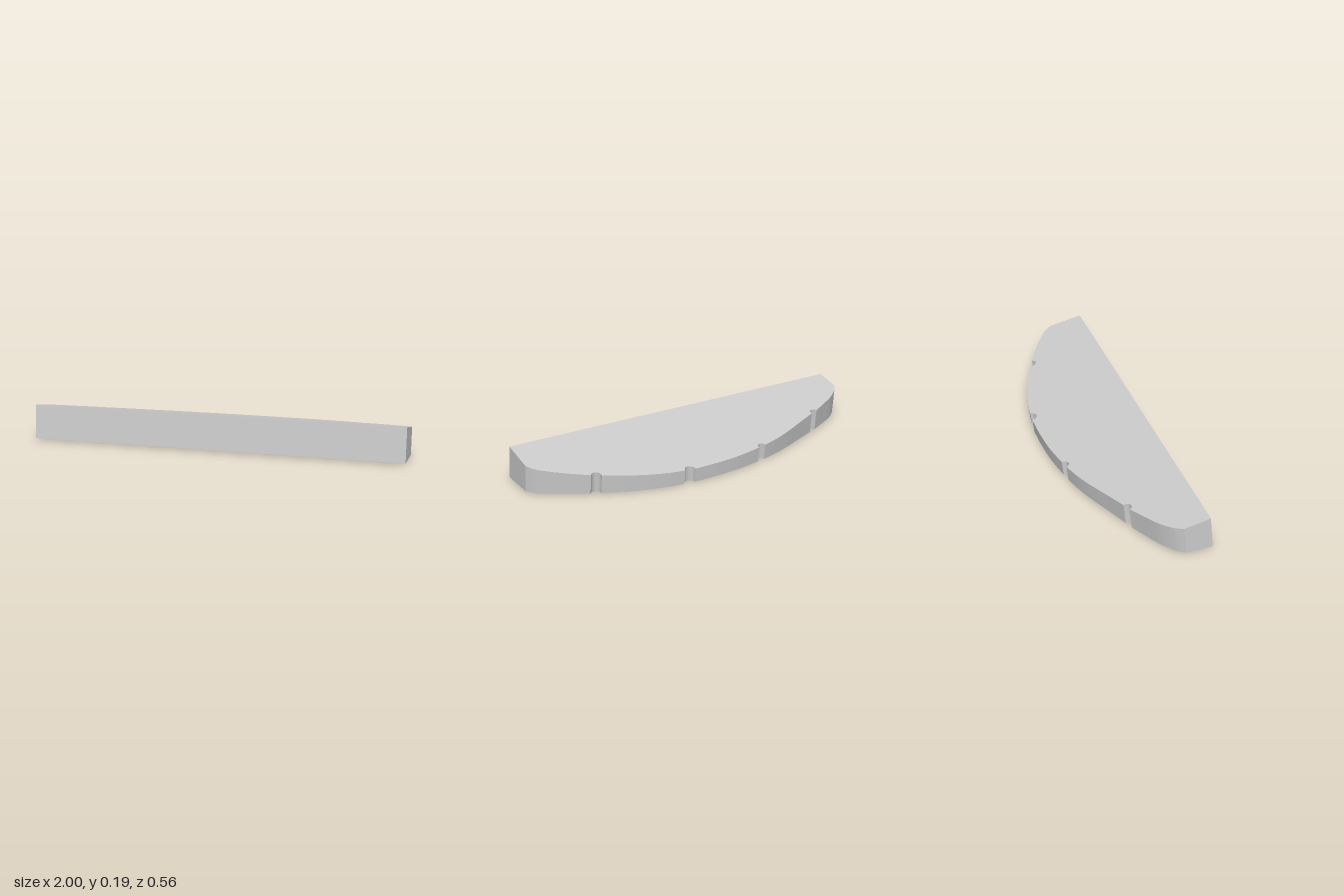
import * as THREE from 'three';
import { toCreasedNormals } from 'three/addons/utils/BufferGeometryUtils.js';

// Curved rear edge of the top face as (x, z) runs, left open between runs for the notches
const runs = [
  [[-1, 0.12], [-0.965, 0.077], [-0.9, 0.027], [-0.81, -0.021], [-0.735, -0.059]],
  [[-0.69, -0.076], [-0.6, -0.113], [-0.45, -0.176], [-0.35, -0.211], [-0.262, -0.235]],
  [[-0.214, -0.245], [-0.08, -0.267], [0.05, -0.277], [0.13, -0.279], [0.208, -0.279]],
  [[0.267, -0.273], [0.35, -0.26], [0.45, -0.236], [0.57, -0.196], [0.684, -0.148]],
  [[0.733, -0.125], [0.83, -0.07], [0.92, -0.012], [0.97, 0.028], [1, 0.07]],
];
const FRONT = 0.257; // z of the top front edge
const LEAN = 0.11;   // backward lean of the walls

function outline() {
  const pts = [new THREE.Vector2(-1, -FRONT)];
  runs.forEach((run, i) => {
    const curve = new THREE.SplineCurve(run.map(([x, z]) => new THREE.Vector2(x, -z)));
    pts.push(...curve.getPoints(20));
    if (i === runs.length - 1) return;
    // Half-round notch biting inward between this run and the next
    const a = pts[pts.length - 1];
    const [bx, bz] = runs[i + 1][0];
    const b = new THREE.Vector2(bx, -bz);
    const c = a.clone().add(b).multiplyScalar(0.5);
    for (let k = 1; k < 10; k++) {
      pts.push(a.clone().rotateAround(c, (Math.PI * k) / 10));
    }
  });
  pts.push(new THREE.Vector2(1, -FRONT));
  return new THREE.Shape(pts);
}

export function createModel() {
  const grey = new THREE.MeshStandardMaterial({ color: 0xcccccc });
  grey.name = 'light grey';

  let geo = new THREE.ExtrudeGeometry(outline(), { depth: 1, bevelEnabled: false });
  geo.rotateX(-Math.PI / 2);

  // Slope the top down to the rear, tilt the base slightly and lean the walls back
  const p = geo.attributes.position;
  for (let i = 0; i < p.count; i++) {
    const z = p.getZ(i);
    const top = 0.19 - 0.209 * (FRONT - z);
    const base = 0.008 * (z + 0.279) / (FRONT + 0.279);
    const y = p.getY(i) > 0.5 ? top : base;
    p.setXYZ(i, p.getX(i), y, z + LEAN * (top - y));
  }
  geo = toCreasedNormals(geo, 0.45);

  const wedge = new THREE.Mesh(geo, grey);
  wedge.name = 'notchedWedge';
  const group = new THREE.Group();
  group.name = 'curvedWedge';
  group.add(wedge);
  return group;
}
